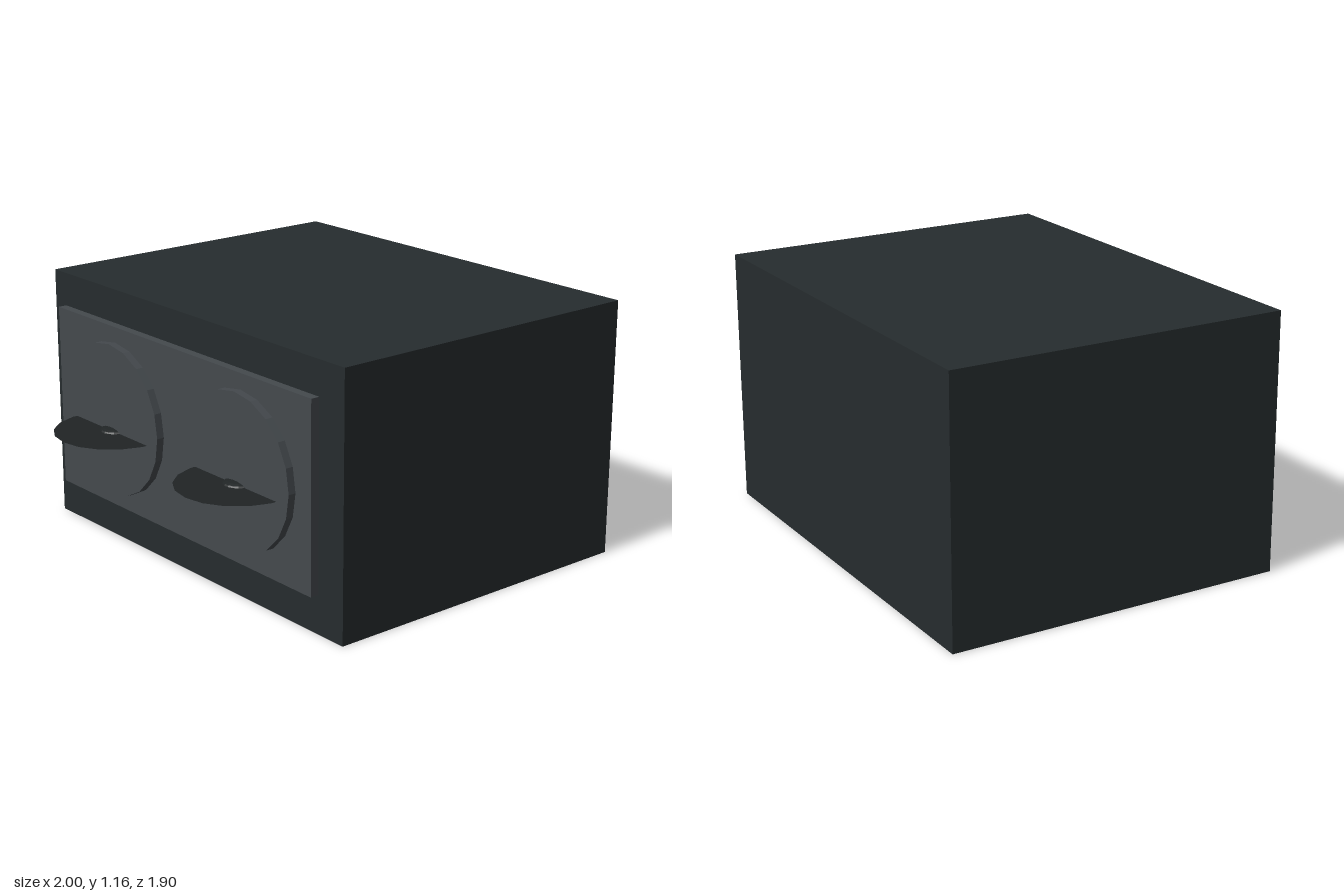
import * as THREE from 'three';

const material = (color, side = THREE.FrontSide) =>
  new THREE.MeshStandardMaterial({ color, side, flatShading: true });

export function createModel() {
  const model = new THREE.Group();
  model.name = 'twinDialBox';
  const bodyMat = material(0x262c2e);
  const panelMat = material(0x44494d);
  const finMat = material(0x202425, THREE.DoubleSide);

  const add = (name, geometry, mat, x, y, z) => {
    const mesh = new THREE.Mesh(geometry, mat);
    mesh.name = name;
    mesh.position.set(x, y, z);
    model.add(mesh);
    return mesh;
  };

  // Housing and the face plate standing just off its front
  add('housing', new THREE.BoxGeometry(2, 1.16, 1.55), bodyMat, 0, 0.58, -0.175);
  add('facePlate', new THREE.BoxGeometry(1.76, 0.83, 0.04), panelMat, 0, 0.605, 0.645);

  // Round dials, each with a paper-thin horizontal fin and a small flattened hub
  const dial = new THREE.CylinderGeometry(0.345, 0.345, 0.036, 20).rotateX(Math.PI / 2);
  const fin = new THREE.CircleGeometry(0.272, 18).rotateZ(Math.PI / 2).rotateX(-Math.PI / 2);
  const hub = new THREE.SphereGeometry(0.068, 18, 8).scale(1, 0.23, 1);
  for (const [side, s] of [['left', 1], ['right', -1]]) {
    add(side + 'Dial', dial, panelMat, s * 0.44, 0.605, 0.682);
    add(side + 'Fin', fin, finMat, s * 0.44, 0.555, 0.678);
    add(side + 'FinHub', hub, finMat, s * 0.44, 0.555, 0.678);
  }
  return model;
}
